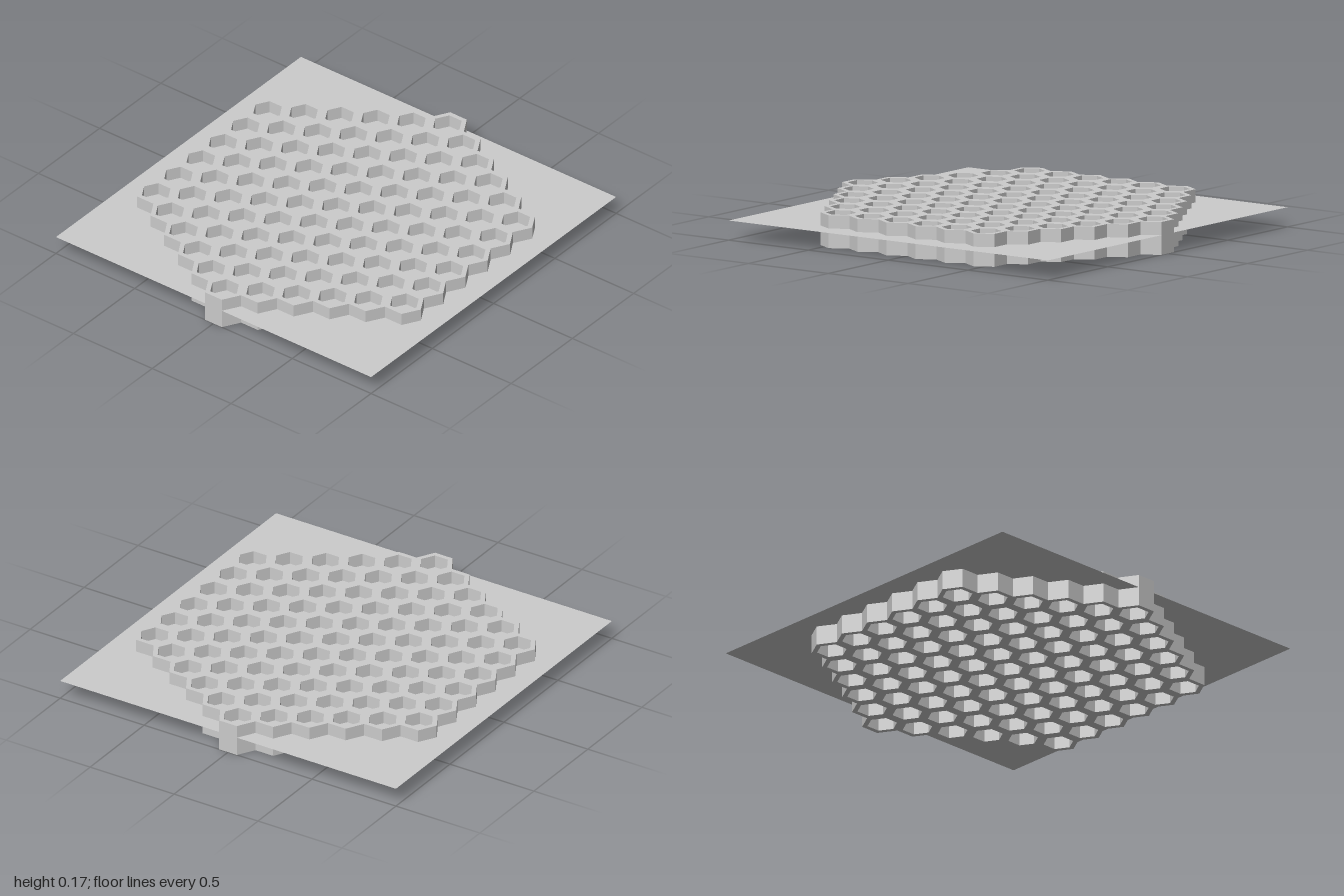
import * as THREE from 'three';

const RINGS = 5;                       // cells from the centre to a corner
const PITCH = 2 / (2 * RINGS + 1);     // distance between neighbouring cells
const OUTER = PITCH / Math.sqrt(3);    // corner radius of a cell
const INNER = 0.077;                   // corner radius of the hole
const HEIGHT = 0.167;
const SHEET_Y = 0.1;

// Hexagon with corners pointing along z
function hexPoints(radius) {
  return Array.from({ length: 6 }, (_, i) => {
    const a = Math.PI / 6 + (i * Math.PI) / 3;
    return new THREE.Vector2(radius * Math.cos(a), radius * Math.sin(a));
  });
}

export function createModel() {
  const model = new THREE.Group();
  model.name = 'honeycombPanel';
  const material = new THREE.MeshStandardMaterial({ color: 0xcccccc, side: THREE.DoubleSide });

  // One open hexagonal tube, shared by every cell
  const shape = new THREE.Shape(hexPoints(OUTER));
  shape.holes.push(new THREE.Path(hexPoints(INNER).reverse()));
  const cellGeometry = new THREE.ExtrudeGeometry(shape, { depth: HEIGHT, bevelEnabled: false });
  cellGeometry.rotateX(-Math.PI / 2);

  // Rows of 6 to 11 and back to 6 cells
  const honeycomb = new THREE.Group();
  honeycomb.name = 'honeycomb';
  for (let row = -RINGS; row <= RINGS; row++) {
    const count = 2 * RINGS + 1 - Math.abs(row);
    for (let i = 0; i < count; i++) {
      const cell = new THREE.Mesh(cellGeometry, material);
      cell.name = 'hexCell';
      cell.position.set((i - (count - 1) / 2) * PITCH, 0, row * OUTER * 1.5);
      honeycomb.add(cell);
    }
  }
  model.add(honeycomb);

  // Thin square sheet cutting through all the cells
  const sheet = new THREE.Mesh(new THREE.PlaneGeometry(2, 2).rotateX(-Math.PI / 2), material);
  sheet.name = 'sheet';
  sheet.position.y = SHEET_Y;
  model.add(sheet);

  return model;
}
